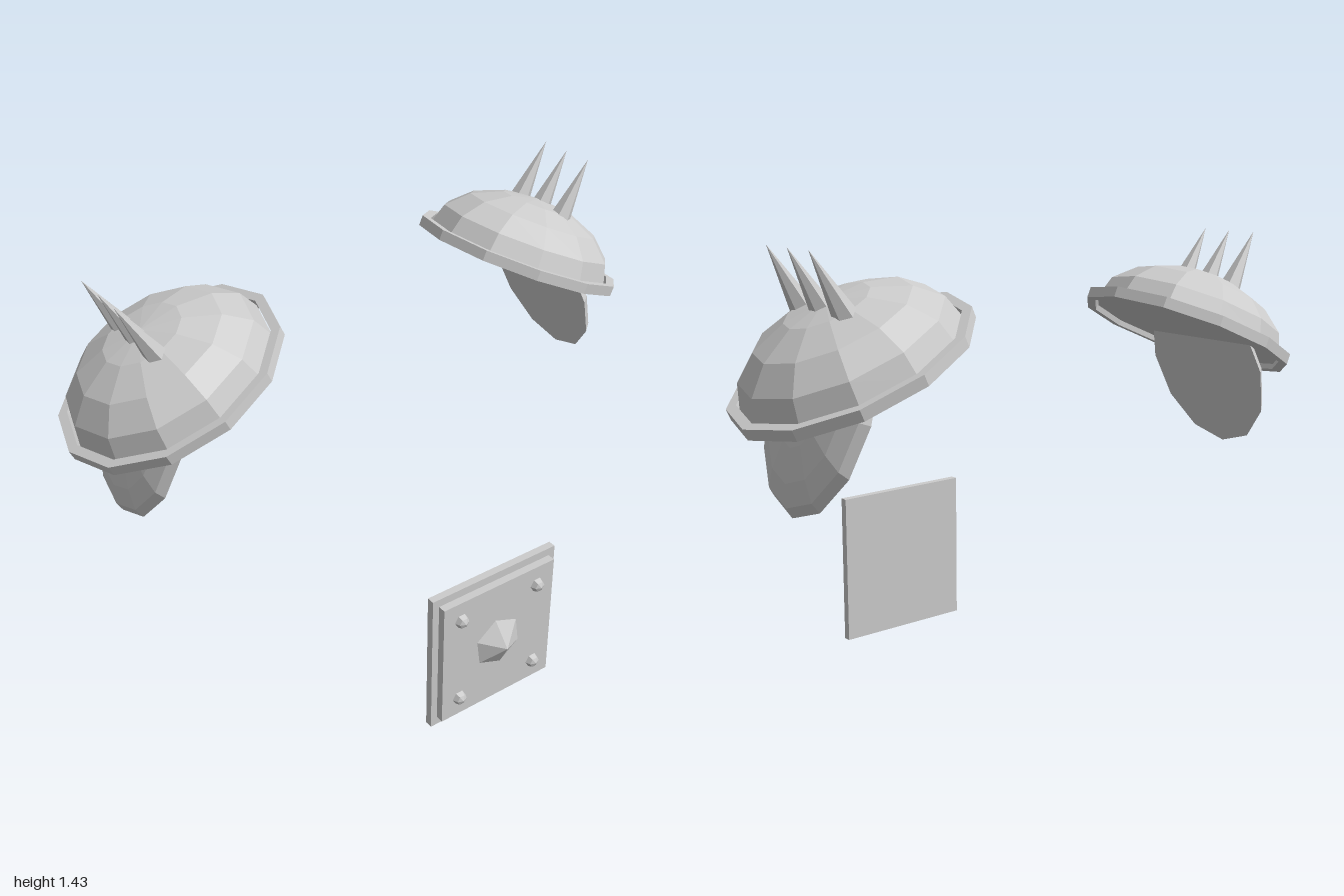
import * as THREE from 'three';

const material = new THREE.MeshStandardMaterial({ color: 0xcccccc, flatShading: true });
const rad = THREE.MathUtils.degToRad;

function add(parent, name, geometry, x = 0, y = 0, z = 0) {
  const mesh = new THREE.Mesh(geometry, material);
  mesh.name = name;
  mesh.position.set(x, y, z);
  parent.add(mesh);
  return mesh;
}

// Half ellipsoid with a flat base, bulging along +y
function halfEllipsoid(rx, height, rz) {
  const profile = [new THREE.Vector2(0, 0)];
  for (let i = 0; i <= 4; i++) {
    const a = (i / 4) * Math.PI / 2;
    profile.push(new THREE.Vector2(i === 4 ? 0 : Math.cos(a), Math.sin(a)));
  }
  return new THREE.LatheGeometry(profile, 12).scale(rx, height, rz);
}

// One shoulder pad; side is +1 for left, -1 for right
function shoulderPad(side, y) {
  const pad = new THREE.Group();
  pad.name = side > 0 ? 'leftShoulderPad' : 'rightShoulderPad';
  pad.position.set(side * 0.661, y, -0.232);

  // Tilted dome with a raised rim
  const shell = new THREE.Group();
  shell.name = 'shell';
  shell.rotation.z = -side * rad(24.7);
  pad.add(shell);
  add(shell, 'dome', halfEllipsoid(0.332, 0.193, 0.307));
  const rimProfile = [[0.335, -0.017], [0.365, -0.017], [0.365, 0.017], [0.335, 0.017], [0.335, -0.017]]
    .map(([r, h]) => new THREE.Vector2(r, h));
  add(shell, 'rim', new THREE.LatheGeometry(rimProfile, 12).scale(1, 1, 0.927));

  // Curved arm guard hanging below the outer edge
  const guard = add(pad, 'armGuard', halfEllipsoid(0.295, 0.072, 0.235), side * 0.1, -0.122, 0);
  guard.rotation.z = -side * rad(70);

  // Row of three spikes
  for (const z of [-0.104, 0, 0.104]) {
    const spike = add(pad, 'spike', new THREE.ConeGeometry(0.038, 0.22, 6).translate(0, 0.11, 0), side * 0.077, 0.132, z);
    spike.rotation.z = -side * rad(31);
  }
  return pad;
}

// Square plate with a faceted boss and corner rivets
function chestPlate() {
  const plate = new THREE.Group();
  plate.name = 'chestPlate';
  add(plate, 'backPlate', new THREE.BoxGeometry(0.474, 0.505, 0.025), 0, 0.2525, 0.483);
  add(plate, 'frontPlate', new THREE.BoxGeometry(0.428, 0.448, 0.027), 0, 0.254, 0.508);
  const boss = new THREE.ConeGeometry(0.09, 0.049, 6, 1).rotateX(Math.PI / 2).rotateZ(rad(8));
  add(plate, 'boss', boss, 0, 0.254, 0.5455);
  for (const x of [-0.148, 0.148])
    for (const y of [0.098, 0.41])
      add(plate, 'rivet', new THREE.SphereGeometry(0.025, 6, 4).rotateX(Math.PI / 2), x, y, 0.52);
  return plate;
}

export function createModel() {
  const model = new THREE.Group();
  model.name = 'armourSet';
  model.add(shoulderPad(1, 1.112), shoulderPad(-1, 1.08), chestPlate());
  return model;
}
